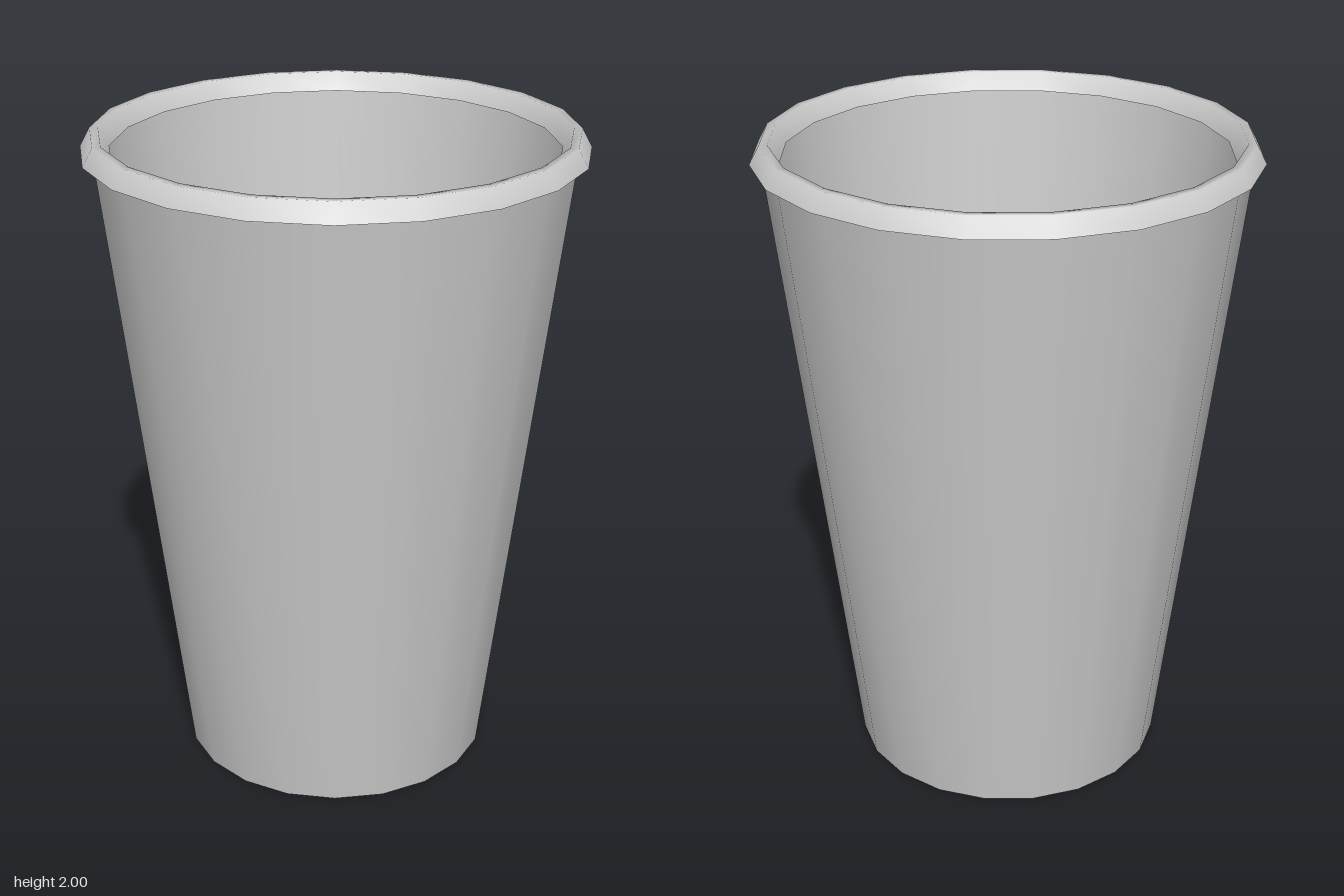
import * as THREE from 'three';

const SIDES = 20;
const material = new THREE.MeshStandardMaterial({ color: 0xcccccc });

// Revolve a profile of [radius, height] pairs; an upward profile faces outward.
function revolve(name, points) {
  const profile = points.map(([r, y]) => new THREE.Vector2(r, y));
  const mesh = new THREE.Mesh(new THREE.LatheGeometry(profile, SIDES), material);
  mesh.name = name;
  return mesh;
}

function disc(name, radius, y, up) {
  const geometry = new THREE.CircleGeometry(radius, SIDES);
  geometry.rotateX(up ? -Math.PI / 2 : Math.PI / 2);
  const mesh = new THREE.Mesh(geometry, material);
  mesh.position.y = y;
  mesh.name = name;
  return mesh;
}

export function createModel() {
  const cup = new THREE.Group();
  cup.name = 'cup';

  // Thin tapered wall, with separate faces so the edges stay sharp
  cup.add(revolve('outerWall', [[0.48, 0], [0.713, 1.95]]));
  cup.add(revolve('innerWall', [[0.702, 1.95], [0.47, 0.01]]));

  // Bottom
  cup.add(disc('base', 0.48, 0, false));
  cup.add(disc('innerFloor', 0.47, 0.01, true));

  // Rolled rim: softly shaded bevelled top and flat underside
  const rim = new THREE.Group();
  rim.name = 'rim';
  rim.add(revolve('rimTop', [[0.745, 1.945], [0.715, 2], [0.69, 2], [0.66, 1.945]]));
  rim.add(revolve('rimUnderside', [[0.66, 1.945], [0.745, 1.945]]));
  cup.add(rim);

  return cup;
}
